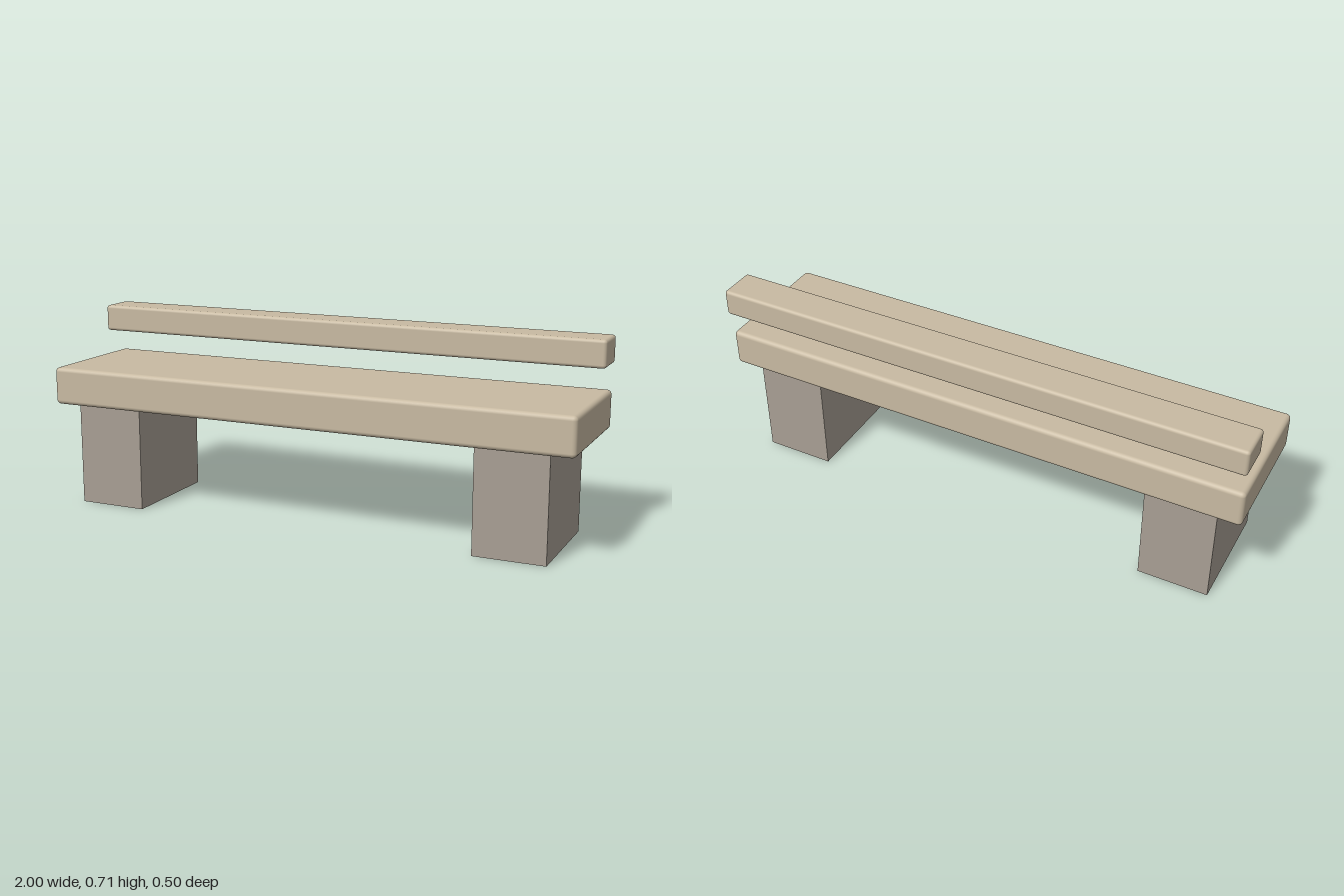
import * as THREE from 'three';
import { RoundedBoxGeometry } from 'three/addons/geometries/RoundedBoxGeometry.js';

export function createModel() {
  const model = new THREE.Group();
  model.name = 'bench';
  const wood = new THREE.MeshStandardMaterial({ name: 'pale wood', color: 0xc8baa2 });
  const stone = new THREE.MeshStandardMaterial({ name: 'grey stone', color: 0xa89f94 });

  const add = (name, geometry, material, x, y, z) => {
    const mesh = new THREE.Mesh(geometry, material);
    mesh.name = name;
    mesh.position.set(x, y, z);
    model.add(mesh);
  };

  // Thick seat slab and the rail floating above its back edge
  add('seat', new RoundedBoxGeometry(2, 0.14, 0.48, 3, 0.016), wood, 0, 0.45, 0.01);
  add('backRail', new RoundedBoxGeometry(2, 0.1, 0.14, 3, 0.012), wood, 0, 0.66, -0.18);

  // Square-edged block legs, running slightly into the seat
  const legGeometry = new THREE.BoxGeometry(0.26, 0.385, 0.42);
  for (const [name, side] of [['leftLeg', 1], ['rightLeg', -1]]) {
    add(name, legGeometry, stone, side * 0.78, 0.1925, 0.01);
  }

  return model;
}
